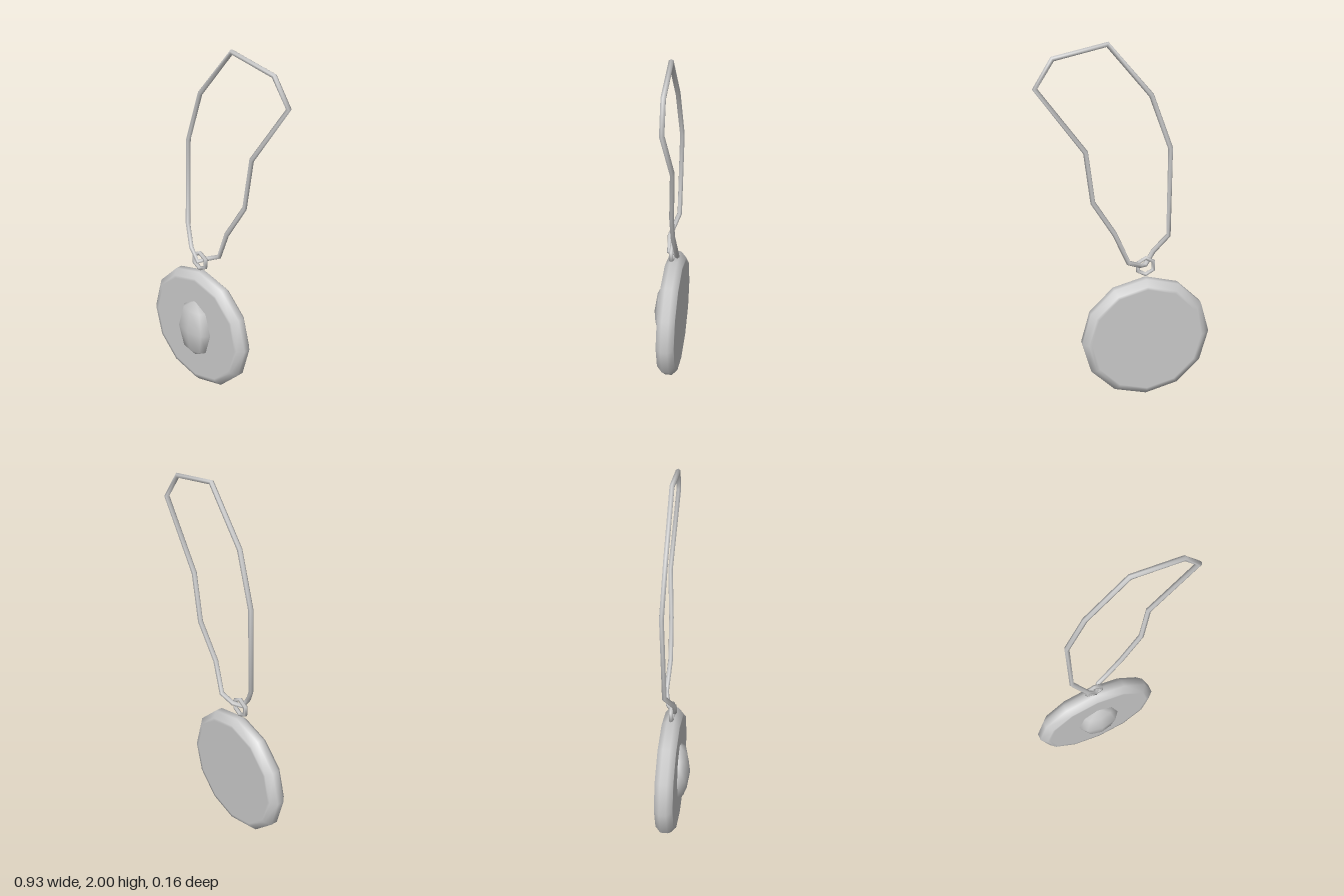
import * as THREE from 'three';

const material = new THREE.MeshStandardMaterial({ color: 0xcccccc });
const CENTRE_X = -0.114;
const DISC_Y = 0.355;

// Straight runs between corner points; each corner is one ring of the tube.
class ClosedPolyline extends THREE.Curve {
  constructor(points) {
    super();
    this.points = points;
  }
  corner(i) {
    const n = this.points.length;
    return this.points[((i % n) + n) % n];
  }
  getPointAt(u, target = new THREE.Vector3()) {
    const t = u * this.points.length;
    const i = Math.floor(t + 1e-6);
    return target.lerpVectors(this.corner(i), this.corner(i + 1), Math.max(0, t - i));
  }
  getTangentAt(u, target = new THREE.Vector3()) {
    const i = Math.round(u * this.points.length);
    const before = this.corner(i).clone().sub(this.corner(i - 1)).normalize();
    const after = this.corner(i + 1).clone().sub(this.corner(i)).normalize();
    return target.addVectors(before, after).normalize();
  }
}

export function createModel() {
  const model = new THREE.Group();
  model.name = 'pendant';

  const add = (name, geometry, x, y, z) => {
    const mesh = new THREE.Mesh(geometry, material);
    mesh.name = name;
    mesh.position.set(x, y, z);
    model.add(mesh);
    return mesh;
  };

  // Twelve-sided disc with bevelled rims
  const profile = [
    [0, -0.049], [0.305, -0.049], [0.322, -0.049], [0.354, -0.019],
    [0.354, 0.019], [0.322, 0.049], [0.305, 0.049], [0, 0.049],
  ].map(([r, h]) => new THREE.Vector2(r, h));
  const disc = new THREE.LatheGeometry(profile, 12).rotateX(Math.PI / 2);
  add('disc', disc, CENTRE_X, DISC_Y, -0.029);

  // Oval stone, half sunk into the front face
  const stone = new THREE.SphereGeometry(1, 8, 4).scale(0.125, 0.18, 0.063);
  add('stone', stone, CENTRE_X, 0.36, 0.015);

  // Six-sided hanging ring
  const ring = new THREE.TorusGeometry(0.048, 0.012, 6, 6).rotateZ(Math.PI / 6);
  add('hangingRing', ring, CENTRE_X, 0.775, -0.022);

  // Cord looped through the ring
  const corners = [
    [-0.115, 0.775, -0.005], [-0.16, 0.85, -0.002], [-0.23, 0.955, -0.045],
    [-0.23, 1.44, -0.055], [-0.13, 1.72, -0.045], [0.09, 1.985, -0.043],
    [0.36, 1.93, -0.048], [0.45, 1.79, -0.055], [0.21, 1.455, -0.068],
    [0.175, 1.18, -0.06], [0.06, 0.99, -0.05], [-0.01, 0.825, -0.064],
    [-0.08, 0.792, -0.045],
  ].map((p) => new THREE.Vector3(...p));
  const cord = new THREE.TubeGeometry(new ClosedPolyline(corners), corners.length, 0.0135, 6, true);
  add('cord', cord, 0, 0, 0);

  return model;
}
